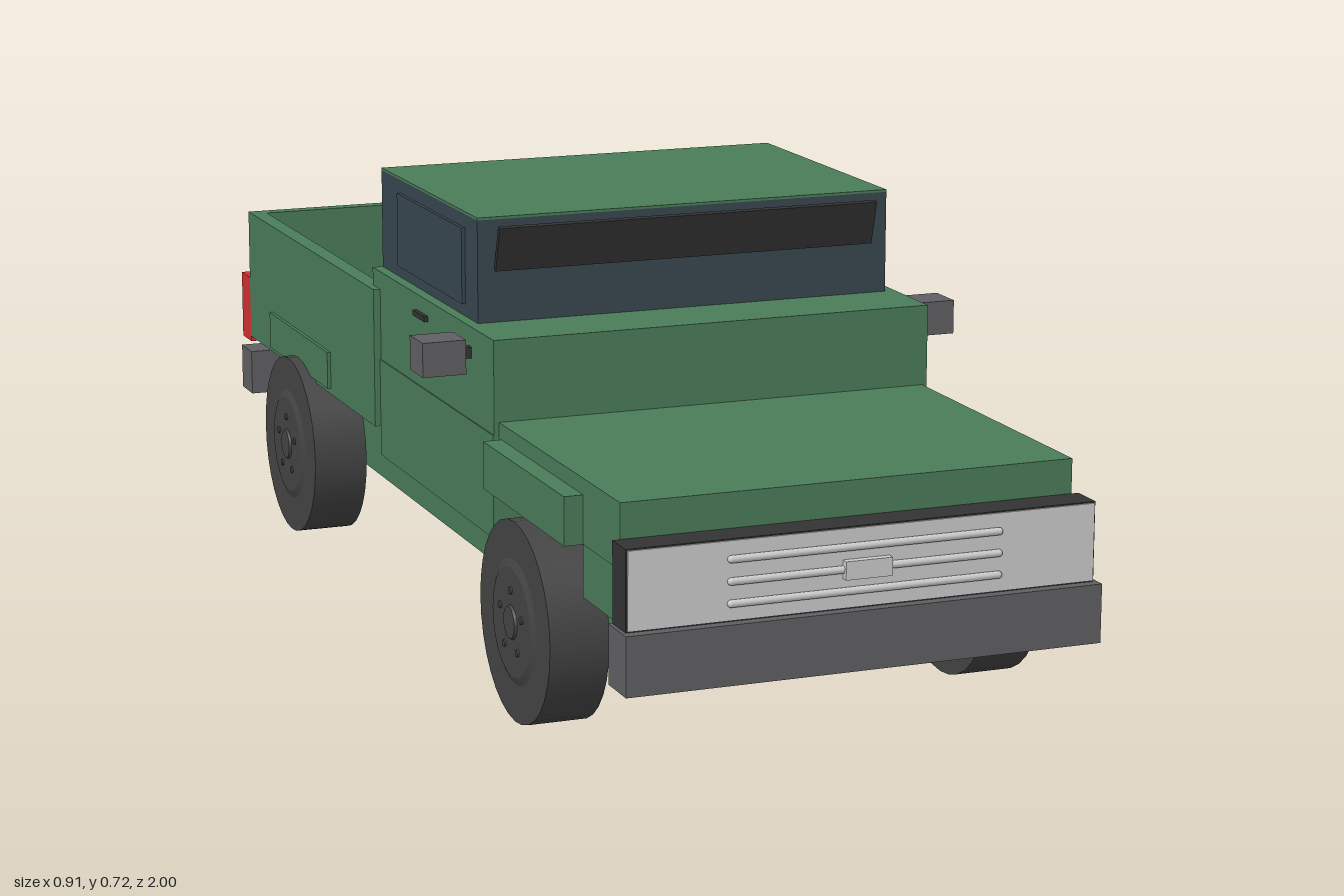
import * as THREE from 'three';

const mat = (color) => new THREE.MeshStandardMaterial({ color });

export function createModel() {
  const truck = new THREE.Group();
  truck.name = 'pickupTruck';
  const green = mat(0x4a7c59), glass = mat(0x37474f), dark = mat(0x333333);
  const tyreGrey = mat(0x444444), steel = mat(0x606064), silver = mat(0xcccccc), red = mat(0xd03030);

  const add = (name, geometry, material) => {
    const mesh = new THREE.Mesh(geometry, material);
    mesh.name = name;
    truck.add(mesh);
    return mesh;
  };
  // Box given by its limits on each axis
  const box = (name, material, x0, x1, y0, y1, z0, z1) => {
    const mesh = add(name, new THREE.BoxGeometry(x1 - x0, y1 - y0, z1 - z0), material);
    mesh.position.set((x0 + x1) / 2, (y0 + y1) / 2, (z0 + z1) / 2);
    return mesh;
  };
  const centred = (name, material, w, ...rest) => box(name, material, -w, w, ...rest);
  // Same box on both sides of the truck
  const pair = (name, material, x0, x1, ...rest) => {
    box(name + 'Left', material, x0, x1, ...rest);
    box(name + 'Right', material, -x1, -x0, ...rest);
  };

  // Chassis and nose
  centred('chassis', green, 0.29, 0.13, 0.235, -0.93, 0.93);
  centred('engineBay', green, 0.295, 0.235, 0.32, 0.41, 0.765);
  centred('nose', green, 0.355, 0.235, 0.32, 0.765, 0.93);
  centred('hood', green, 0.36, 0.32, 0.42, 0.41, 0.93);
  pair('frontFender', green, 0.35, 0.39, 0.32, 0.395, 0.42, 0.78);

  // Cab
  centred('cabLower', green, 0.37, 0.235, 0.4, -0.165, 0.41);
  centred('cabUpper', green, 0.368, 0.4, 0.55, -0.205, 0.41);
  centred('windows', glass, 0.35, 0.55, 0.714, -0.205, 0.285);
  centred('roof', green, 0.35, 0.714, 0.718, -0.205, 0.285);
  pair('sideWindow', glass, 0.35, 0.356, 0.57, 0.692, -0.105, 0.225);
  const visor = centred('sunVisor', dark, 0.322, 0.632, 0.706, 0.293, 0.301);
  visor.rotation.x = 0.27;
  pair('doorHandle', dark, 0.366, 0.375, 0.515, 0.524, 0.03, 0.09);
  pair('mirrorArm', dark, 0.365, 0.39, 0.5, 0.518, 0.29, 0.305);
  pair('mirror', steel, 0.384, 0.455, 0.48, 0.535, 0.262, 0.326);

  // Load bed
  centred('bedSupport', green, 0.29, 0.235, 0.285, -0.92, -0.17);
  centred('bedFloor', dark, 0.355, 0.285, 0.305, -0.91, -0.2);
  pair('bedSide', green, 0.352, 0.38, 0.285, 0.52, -0.93, -0.165);
  pair('bedLiner', dark, 0.349, 0.352, 0.305, 0.515, -0.905, -0.205);
  centred('bedFront', green, 0.352, 0.285, 0.52, -0.205, -0.165);
  centred('tailgate', green, 0.352, 0.285, 0.52, -0.93, -0.905);
  pair('bedWheelHousing', dark, 0.23, 0.35, 0.305, 0.365, -0.78, -0.435);
  pair('rearFender', green, 0.378, 0.386, 0.295, 0.36, -0.78, -0.42);
  for (const x of [-0.2, -0.05, 0.05, 0.2]) {
    box('bedRib', dark, x - 0.01, x + 0.01, 0.305, 0.317, -0.905, -0.205);
  }

  // Grille with three bars and a plain centre plate
  centred('grilleFrame', dark, 0.372, 0.243, 0.366, 0.93, 0.983);
  centred('grillePanel', silver, 0.37, 0.245, 0.364, 0.983, 0.986);
  for (const y of [0.271, 0.304, 0.337]) {
    const bar = add('grilleBar', new THREE.CapsuleGeometry(0.006, 0.424, 4, 10), silver);
    bar.rotation.z = Math.PI / 2;
    bar.position.set(0, y, 0.988);
  }
  centred('grillePlate', silver, 0.037, 0.29, 0.318, 0.983, 0.998);

  // Bumpers and lights
  centred('frontBumper', steel, 0.378, 0.152, 0.243, 0.93, 1.0);
  centred('rearBumper', steel, 0.38, 0.175, 0.255, -0.995, -0.93);
  centred('bumperStep', dark, 0.12, 0.2, 0.235, -1.0, -0.99);
  pair('bumperBracket', green, 0.29, 0.305, 0.14, 0.2, 0.85, 0.93);
  pair('tailLight', red, 0.326, 0.38, 0.275, 0.396, -0.985, -0.93);

  // Wheels: tyre, stepped rim and a ring of bolts
  const tyre = new THREE.CylinderGeometry(0.157, 0.157, 0.094, 32);
  const rim = new THREE.CylinderGeometry(0.085, 0.1, 0.006, 32);
  const cap = new THREE.CylinderGeometry(0.025, 0.03, 0.01, 20);
  const bolt = new THREE.CylinderGeometry(0.006, 0.006, 0.008, 8);
  for (const side of [1, -1]) {
    for (const z of [0.6, -0.6]) {
      const wheel = new THREE.Group();
      wheel.name = (z > 0 ? 'front' : 'rear') + 'Wheel' + (side > 0 ? 'Left' : 'Right');
      const part = (name, geometry, material, x, y, z2) => {
        const mesh = new THREE.Mesh(geometry, material);
        mesh.name = name;
        mesh.position.set(x, y, z2);
        wheel.add(mesh);
      };
      part('tyre', tyre, tyreGrey, 0, 0, 0);
      part('rim', rim, tyreGrey, 0, 0.049, 0);
      part('hubCap', cap, tyreGrey, 0, 0.051, 0);
      for (let i = 0; i < 5; i++) {
        const a = (i / 5) * Math.PI * 2;
        part('bolt', bolt, tyreGrey, Math.cos(a) * 0.05, 0.051, Math.sin(a) * 0.05);
      }
      wheel.rotation.z = (-side * Math.PI) / 2;
      wheel.position.set(side * 0.357, 0.157, z);
      truck.add(wheel);
    }
  }
  return truck;
}
